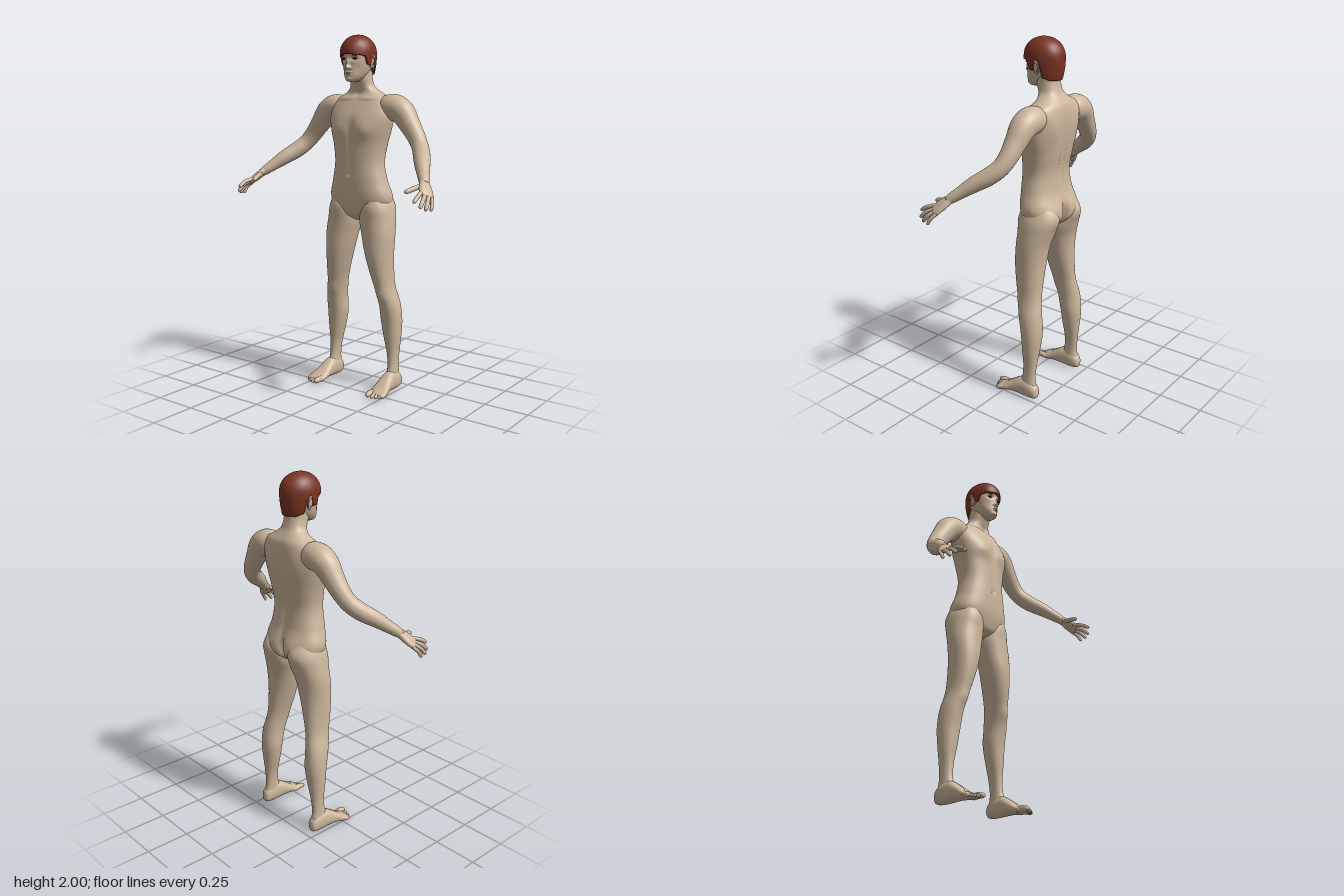
import * as THREE from 'three';

const mat = (name, color, side = THREE.FrontSide) => {
  const m = new THREE.MeshStandardMaterial({ color, side });
  m.name = name;
  return m;
};
const V = (x, y, z) => new THREE.Vector3(x, y, z);
const X = V(1, 0, 0), Y = V(0, 1, 0), Z = V(0, 0, 1);

// Indexed tube of rings, optionally with centre points closing both ends
function skin(rings, caps = true) {
  const n = rings[0].length, pos = [], idx = [];
  rings.forEach(r => r.forEach(p => pos.push(p.x, p.y, p.z)));
  for (let i = 0; i < rings.length - 1; i++)
    for (let j = 0; j < n; j++) {
      const a = i * n + j, b = i * n + (j + 1) % n;
      idx.push(a, b, b + n, a, b + n, a + n);
    }
  if (caps) [0, rings.length - 1].forEach((r, end) => {
    const c = V(0, 0, 0);
    rings[r].forEach(p => c.addScaledVector(p, 1 / n));
    const ci = pos.length / 3;
    pos.push(c.x, c.y, c.z);
    for (let j = 0; j < n; j++) {
      const a = r * n + j, b = r * n + (j + 1) % n;
      end ? idx.push(a, b, ci) : idx.push(b, a, ci);
    }
  });
  const g = new THREE.BufferGeometry();
  g.setAttribute('position', new THREE.Float32BufferAttribute(pos, 3));
  g.setIndex(idx);
  g.computeVertexNormals();
  return g;
}

// Smooth loft through rows [x, y, z, radiusU, radiusV]; a fixed axis keeps all rings parallel
function loft(rows, { axis, side = X, steps = 40, seg = 32, power = 2, bumps = [] } = {}) {
  const at = [0];
  for (let i = 1; i < rows.length; i++)
    at.push(at[i - 1] + Math.hypot(...rows[i].map((v, k) => v - rows[i - 1][k])));
  const curve = new THREE.CubicInterpolant(at, rows.flat(), 5, new Float64Array(5));
  const end = at[at.length - 1];
  const sample = t => [...curve.evaluate(Math.min(Math.max(t, 0), end))];
  const sp = v => Math.sign(v) * Math.pow(Math.abs(v), 2 / power);
  const rings = [];
  for (let i = 0; i <= steps; i++) {
    const t = end * i / steps, [x, y, z, a, b] = sample(t);
    const p = sample(t - 0.01), q = sample(t + 0.01);
    const dir = axis || V(q[0] - p[0], q[1] - p[1], q[2] - p[2]).normalize();
    const u = side.clone().addScaledVector(dir, -side.dot(dir)).normalize();
    const v = dir.clone().cross(u);
    rings.push(Array.from({ length: seg }, (_, j) => {
      const w = j / seg * Math.PI * 2;
      const pt = V(x, y, z).addScaledVector(u, a * sp(Math.cos(w))).addScaledVector(v, b * sp(Math.sin(w)));
      return sculpt(pt, bumps);
    }));
  }
  return skin(rings);
}

// Soft symmetric bumps [x, y, z, spreadX, spreadY, spreadZ, pushZ]
function sculpt(p, bumps) {
  let dz = 0;
  for (const [x, y, z, sx, sy, sz, d] of bumps)
    dz += d * Math.exp(-(((Math.abs(p.x) - x) / sx) ** 2) - ((p.y - y) / sy) ** 2 - ((p.z - z) / sz) ** 2);
  p.z += dz;
  return p;
}

// Level section from its limits: height, inner x, outer x, front z, back z
const level = ([y, x0, x1, zf, zb]) => [(x0 + x1) / 2, y, (zf + zb) / 2, (x1 - x0) / 2, (zf - zb) / 2];
const centred = ([y, w, zf, zb]) => level([y, -w, w, zf, zb]);

function mirrored(g) {
  const m = g.clone().scale(-1, 1, 1), ix = m.index.array;
  for (let i = 0; i < ix.length; i += 3) [ix[i], ix[i + 1]] = [ix[i + 1], ix[i]];
  return m;
}

export function createModel() {
  const model = new THREE.Group();
  model.name = 'standingFigure';
  const skinMat = mat('skin', 0xcdb79d), hairMat = mat('hair', 0x7c3322, THREE.DoubleSide);
  const eyeMat = mat('eye', 0x5c2018), pupilMat = mat('pupil', 0x1c1210);
  const add = (name, g, m = skinMat) => {
    const mesh = new THREE.Mesh(g, m);
    mesh.name = name;
    model.add(mesh);
  };
  const pair = (name, g, m) => {
    add(name + 'Left', g, m);
    add(name + 'Right', mirrored(g), m);
  };

  // Torso and neck
  const bodyBumps = [
    [.09, 1.485, -.01, .06, .05, .08, .014], [0, 1.48, 0, .02, .09, .05, -.008],
    [0, 1.3, 0, .012, .12, .05, -.005], [0, 1.235, 0, .01, .01, .05, -.008],
    [.1, 1.55, -.24, .05, .08, .06, -.01], [0, 1.36, -.23, .025, .2, .06, .016],
    [.085, 1.07, -.25, .06, .06, .07, -.014], [0, 1.05, -.25, .016, .07, .08, .05],
    [.08, 1.655, -.08, .06, .01, .04, .006], [0, 1.68, -.09, .016, .02, .03, -.008]];
  add('torso', loft([
    [.972, .02, -.09, -.15], [1.0, .1, -.05, -.2], [1.04, .17, -.032, -.238], [1.1, .193, -.018, -.245],
    [1.2, .168, -.012, -.22], [1.3, .15, -.012, -.213], [1.4, .163, -.012, -.228], [1.48, .184, -.012, -.238],
    [1.55, .198, -.022, -.242], [1.61, .195, -.05, -.242], [1.655, .165, -.075, -.235], [1.69, .105, -.09, -.215],
    [1.72, .07, -.082, -.197], [1.76, .061, -.066, -.186], [1.81, .06, -.06, -.18]].map(centred),
  { axis: Y, steps: 130, seg: 96, power: 2.35, bumps: bodyBumps }));

  // Legs
  pair('leg', loft([
    [1.14, .05, .165, -.06, -.215], [1.05, .014, .2, -.028, -.25], [.98, .008, .212, -.03, -.236],
    [.9, .028, .22, -.028, -.212], [.8, .055, .217, -.025, -.2], [.7, .085, .215, -.035, -.197],
    [.6, .113, .22, -.056, -.199], [.5, .129, .244, -.08, -.215], [.4, .132, .251, -.1, -.222],
    [.3, .15, .246, -.11, -.212], [.2, .174, .236, -.118, -.2], [.12, .181, .236, -.112, -.195],
    [.07, .179, .24, -.09, -.203], [.02, .185, .238, -.09, -.2]].reverse().map(level),
  { axis: Y, steps: 80, seg: 48, power: 2.1, bumps: [[.17, .555, -.06, .03, .035, .04, .008], ...bodyBumps.slice(6, 8)] }));

  // Feet: sections run forward as z, inner x, outer x, bottom, top
  pair('foot', loft([
    [-.217, .203, .217, .025, .045], [-.207, .186, .236, .007, .075], [-.17, .176, .246, 0, .105],
    [-.11, .173, .25, .002, .112], [-.05, .168, .258, .006, .078], [0, .165, .27, .003, .045],
    [.03, .167, .271, .003, .032], [.043, .18, .26, .008, .024]].map(
    ([z, x0, x1, y0, y1]) => [(x0 + x1) / 2, (y0 + y1) / 2, z, (x1 - x0) / 2, (y1 - y0) / 2]),
  { axis: Z, steps: 50, seg: 40, power: 2.3 }));

  // Rounded digit through three joints, used for fingers and toes
  const digit = (a, m, b, r) => {
    const d = b.clone().sub(m).normalize();
    const row = (p, back, s) => [...p.clone().addScaledVector(d, -back * r).toArray(), r * s, r * s];
    return loft([row(a, 0, 1), row(m, 0, 1), row(b, 1.1, .88), row(b, .45, .7), row(b, .12, .4), row(b, 0, .1)],
      { steps: 24, seg: 14 });
  };
  [[.184, .078, .0165], [.21, .072, .011], [.23, .063, .0105], [.247, .054, .01], [.261, .042, .01]].forEach(
    ([x, z, r], i) => pair('toe' + (i + 1), digit(V(x, .02, .005), V(x, r + .006, z - .028), V(x, r, z), r)));

  // Arms
  const round = ([x, y, z, r]) => [x, y, z, r, r];
  pair('arm', loft([
    [.12, 1.59, -.155, .05], [.16, 1.602, -.155, .07], [.205, 1.603, -.156, .074], [.25, 1.583, -.154, .07],
    [.31, 1.51, -.147, .057], [.36, 1.443, -.137, .049], [.393, 1.398, -.118, .046], [.43, 1.355, -.075, .046],
    [.475, 1.31, -.01, .041], [.515, 1.267, .045, .032], [.545, 1.235, .085, .026], [.555, 1.224, .097, .022]].map(round),
  { side: V(.58, -.36, -.72), steps: 80, seg: 40 }));

  // Hands
  pair('palm', loft([
    [.535, 1.246, .073, .022, .018], [.55, 1.23, .092, .027, .02], [.57, 1.207, .115, .036, .019],
    [.588, 1.186, .135, .039, .016], [.6, 1.172, .149, .037, .012], [.604, 1.168, .154, .026, .006]],
  { side: V(.58, -.36, -.72), steps: 30, seg: 32, power: 2.3 }));
  [['index', [.573, 1.192, .155], [.586, 1.178, .208], [.59, 1.15, .256]],
    ['middle', [.589, 1.183, .148], [.608, 1.158, .197], [.615, 1.122, .237]],
    ['ring', [.602, 1.174, .136], [.622, 1.146, .176], [.629, 1.108, .208]],
    ['little', [.612, 1.167, .12], [.631, 1.138, .148], [.637, 1.103, .168]],
    ['thumb', [.552, 1.222, .11], [.531, 1.207, .165], [.512, 1.192, .216]]].forEach(([name, a, m, b]) =>
    pair(name + 'Finger', digit(V(...a), V(...m), V(...b), name === 'little' ? .0095 : name === 'thumb' ? .013 : .011)));

  // Head with nose, sockets, lips and chin
  add('head', loft([
    [1.742, .012, -.025, -.06], [1.75, .032, -.008, -.09], [1.77, .05, -.002, -.125], [1.8, .065, -.002, -.158],
    [1.84, .076, 0, -.185], [1.88, .081, .002, -.195], [1.92, .08, 0, -.195], [1.955, .066, -.025, -.175],
    [1.978, .04, -.06, -.14], [1.984, .012, -.085, -.11]].map(centred),
  { axis: Y, steps: 110, seg: 120, power: 2.15, bumps: [
    [0, 1.822, 0, .011, .011, .05, .022], [0, 1.848, 0, .009, .02, .05, .012], [.013, 1.818, 0, .007, .007, .05, .008],
    [.034, 1.868, 0, .018, .01, .05, -.011], [.03, 1.887, 0, .025, .006, .05, .004],
    [0, 1.794, 0, .022, .005, .05, .007], [0, 1.782, 0, .018, .005, .05, .007], [0, 1.788, 0, .022, .002, .05, -.003],
    [0, 1.757, 0, .02, .01, .05, .007], [.05, 1.815, 0, .014, .025, .05, -.005]] }));

  // Eyes, brows and ears
  const blob = (p, s, rz = 0) => new THREE.SphereGeometry(1, 20, 14).scale(...s).rotateZ(rz).translate(...p);
  pair('eye', blob([.035, 1.869, -.016], [.015, .0065, .01]), eyeMat);
  pair('pupil', blob([.034, 1.869, -.0085], [.005, .005, .004]), pupilMat);
  pair('brow', blob([.037, 1.887, -.005], [.02, .004, .008], -.08), hairMat);
  pair('ear', blob([.083, 1.851, -.105], [.009, .03, .017], -.15));
  pair('earRim', new THREE.TorusGeometry(.02, .0045, 8, 24).scale(.85, 1.5, 1).rotateY(Math.PI / 2 - .3)
    .rotateZ(-.15).translate(.088, 1.853, -.107));

  // Hair cap: the hairline height depends on the angle from the front
  const angles = [0, 45, 62, 74, 84, 92, 104, 114, 140, 180];
  const heights = [1.893, 1.887, 1.88, 1.838, 1.835, 1.882, 1.872, 1.8, 1.786, 1.784];
  const hairline = deg => {
    const i = Math.min(angles.findLastIndex(a => a <= deg), 8);
    return THREE.MathUtils.lerp(heights[i], heights[i + 1],
      THREE.MathUtils.smoothstep(deg, angles[i], angles[i + 1]));
  };
  const hairPoint = (w, t) => {
    const deg = Math.abs(Math.atan2(Math.sin(w), Math.cos(w))) * 180 / Math.PI, low = hairline(deg);
    const y = low + (2 - low) * Math.sin(Math.max(t, 0) * Math.PI / 2), k = (y - 1.895) / .105;
    let s = k > 0 ? Math.sqrt(Math.max(0, 1 - k ** 2.2)) : 1 - .12 * k * k;
    s *= 1 + .012 * Math.sin(7 * w) * Math.sin(t * 9) * (1 - t);
    if (t < 0) s *= .86;
    return V(.095 * s * Math.sin(w), y, -.097 + .115 * s * Math.cos(w));
  };
  const hairRings = [-1, ...Array.from({ length: 37 }, (_, i) => i / 36.5)].map(t =>
    Array.from({ length: 120 }, (_, j) => hairPoint(j / 120 * Math.PI * 2, t)));
  const hairGeo = skin(hairRings, false);
  add('hair', hairGeo, hairMat);
  add('hairCrown', blob([0, 1.985, -.097], [.024, .0148, .028]), hairMat);

  return model;
}
